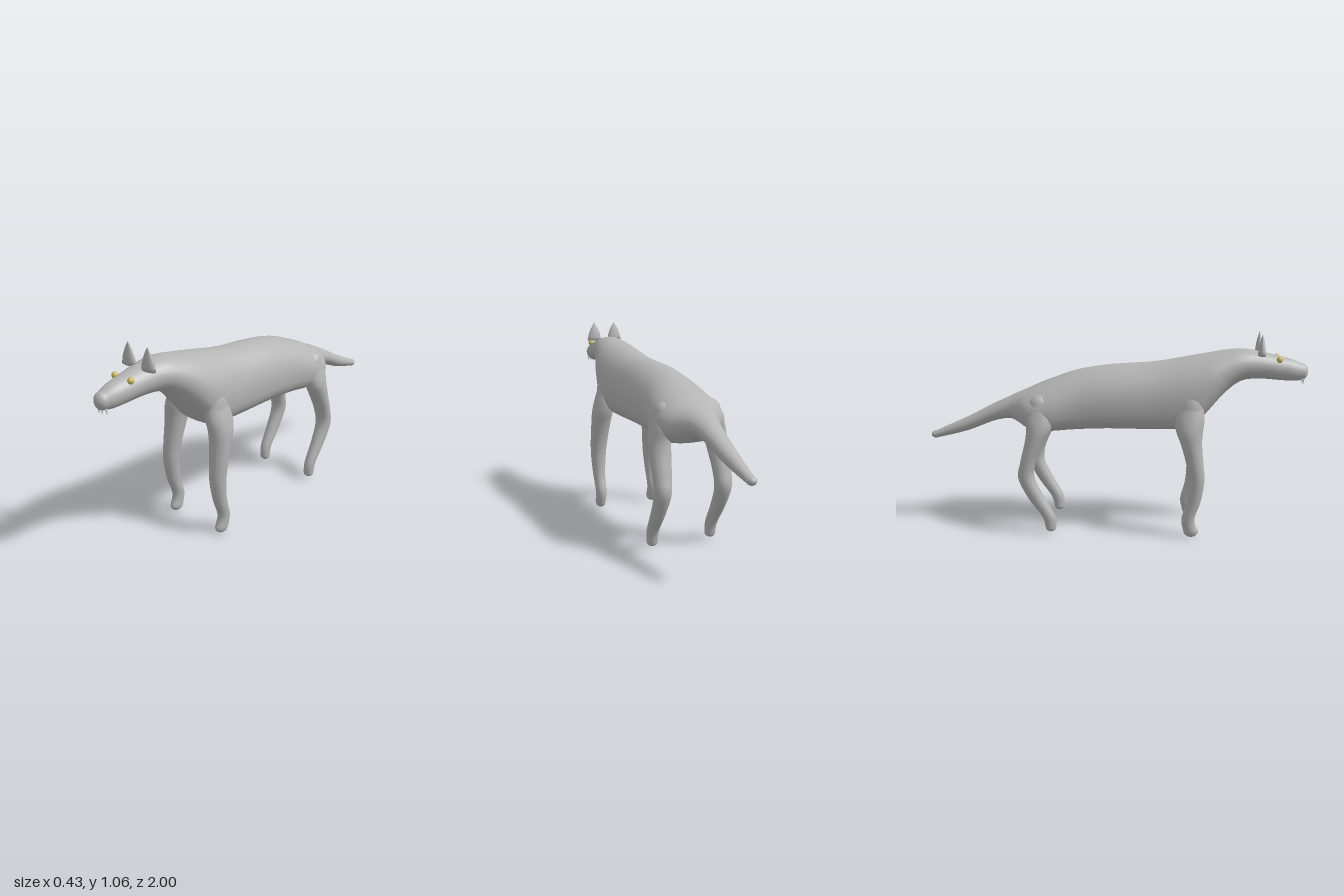
import * as THREE from 'three';

const SIDES = 28, STEPS = 5;

// Catmull-Rom resampling of rows of numbers
function resample(rows) {
  const out = [];
  const spline = (a, b, c, d, t) =>
    b + 0.5 * t * (c - a + t * (2 * a - 5 * b + 4 * c - d + t * (3 * (b - c) + d - a)));
  for (let i = 0; i < rows.length - 1; i++) {
    const a = rows[Math.max(i - 1, 0)], b = rows[i], c = rows[i + 1];
    const d = rows[Math.min(i + 2, rows.length - 1)];
    for (let s = 0; s < STEPS; s++) out.push(b.map((v, k) => spline(a[k], v, c[k], d[k], s / STEPS)));
  }
  out.push(rows[rows.length - 1]);
  return out;
}

// Rounded end: the last section shrinks to a point over the given depth
function dome([at, lo, hi, w, x], depth) {
  const mid = (lo + hi) / 2, half = (hi - lo) / 2;
  return [1, 2, 3, 4, 5].map((k) => {
    const a = k / 5 * Math.PI / 2, c = Math.cos(a);
    return [at + depth * Math.sin(a), mid - half * c, mid + half * c, w * c, x];
  });
}

// Skin a series of sections with domed ends; ring(row, angle) gives one point
function loft(rows, ring, startDepth, endDepth) {
  const body = resample(rows);
  const list = [...dome(body[0], startDepth).reverse(), ...body, ...dome(body[body.length - 1], endDepth)];
  const pos = [], index = [];
  list.forEach((row, i) => {
    for (let j = 0; j < SIDES; j++) {
      pos.push(...ring(row, (j / SIDES) * Math.PI * 2));
      if (i === list.length - 1) continue;
      const a = i * SIDES + j, b = i * SIDES + (j + 1) % SIDES;
      index.push(a, a + SIDES, b, b, a + SIDES, b + SIDES);
    }
  });
  const g = new THREE.BufferGeometry();
  g.setAttribute('position', new THREE.Float32BufferAttribute(pos, 3));
  g.setIndex(index);
  g.computeVertexNormals();
  return g;
}

// Body section: round at head and tail, squarer and wider below along the torso
function bodyRing([z, bottom, top, w], a) {
  const ends = THREE.MathUtils.smoothstep(Math.abs(z), 0.34, 0.62);
  const mid = THREE.MathUtils.lerp(bottom, top, 0.43 + 0.07 * ends);
  const c = Math.cos(a), s = Math.sin(a);
  if (s >= 0) return [w * c, mid + (top - mid) * s, z];
  const power = (v) => Math.sign(v) * Math.pow(Math.abs(v), 0.72 + 0.28 * ends);
  return [w * power(c), mid + (mid - bottom) * power(s), z];
}

// Leg section: an upright ellipse stack on one side
const legRing = (side) => ([y, back, front, w, x], a) =>
  [side * x + w * Math.cos(a), y, (back + front) / 2 + (front - back) / 2 * Math.sin(a)];

// z, bottom, top, half width
const BODY = [
  [0.965, 0.82, 0.907, 0.04],
  [0.92, 0.816, 0.927, 0.053],
  [0.85, 0.82, 0.945, 0.064],
  [0.75, 0.826, 0.968, 0.08],
  [0.66, 0.815, 0.98, 0.1],
  [0.58, 0.755, 0.974, 0.122],
  [0.5, 0.665, 0.96, 0.15],
  [0.43, 0.59, 0.948, 0.165],
  [0.36, 0.563, 0.935, 0.168],
  [0.2, 0.556, 0.908, 0.163],
  [-0.03, 0.557, 0.89, 0.165],
  [-0.2, 0.55, 0.86, 0.167],
  [-0.32, 0.542, 0.818, 0.182],
  [-0.4, 0.542, 0.786, 0.184],
  [-0.46, 0.556, 0.758, 0.163],
  [-0.51, 0.58, 0.737, 0.115],
  [-0.56, 0.595, 0.714, 0.08],
  [-0.65, 0.578, 0.672, 0.057],
  [-0.8, 0.52, 0.595, 0.042],
  [-0.975, 0.475, 0.516, 0.023],
];

// Shared leg widths: y, half width, distance from the middle
const LEG = [
  [0.035, 0.028, 0.164], [0.1, 0.03, 0.165], [0.2, 0.035, 0.166], [0.31, 0.043, 0.165],
  [0.4, 0.049, 0.163], [0.5, 0.055, 0.158], [0.57, 0.058, 0.152], [0.63, 0.057, 0.139], [0.69, 0.05, 0.127],
];

// Back and front z at each of those heights
const FRONT_LEG = [
  [0.375, 0.453], [0.364, 0.432], [0.388, 0.462], [0.394, 0.478],
  [0.382, 0.471], [0.354, 0.461], [0.327, 0.463], [0.318, 0.47], [0.33, 0.465],
];
const HIND_LEG = [
  [-0.357, -0.301], [-0.376, -0.305], [-0.446, -0.358], [-0.496, -0.41],
  [-0.482, -0.4], [-0.458, -0.355], [-0.448, -0.32], [-0.455, -0.307], [-0.44, -0.315],
];
const legRows = (depths) => LEG.map(([y, w, x], i) => [y, ...depths[i], w, x]);

// Ear profile: flared closed base rising to a point
const EAR = [[0, 0], [0.044, 0], [0.04, 0.02], [0.035, 0.042], [0.023, 0.07], [0.01, 0.093], [0, 0.108]]
  .map(([x, y]) => new THREE.Vector2(x, y));

export function createModel() {
  const model = new THREE.Group();
  const material = (name, color) => {
    const m = new THREE.MeshStandardMaterial({ color });
    m.name = name;
    return m;
  };
  const grey = material('grey hide', 0xb4b4b4);
  const yellow = material('yellow eye', 0xcdb964);
  const white = material('white tooth', 0xe6e6e0);
  const add = (name, geometry, mat, x = 0, y = 0, z = 0) => {
    const mesh = new THREE.Mesh(geometry, mat);
    mesh.name = name;
    mesh.position.set(x, y, z);
    model.add(mesh);
    return mesh;
  };

  // Head, neck, torso and tail in one skin
  add('body', loft(BODY, bodyRing, 0.035, -0.025), grey);

  for (const side of [1, -1]) {
    const label = side > 0 ? 'left' : 'right';
    add(label + 'FrontLeg', loft(legRows(FRONT_LEG), legRing(side), -0.033, 0.09), grey);
    add(label + 'HindLeg', loft(legRows(HIND_LEG), legRing(side), -0.022, 0.06), grey);

    const ear = add(label + 'Ear', new THREE.LatheGeometry(EAR, 24), grey, side * 0.064, 0.954, 0.752);
    ear.scale.z = 0.45;

    add(label + 'Eye', new THREE.SphereGeometry(0.016, 16, 12), yellow, side * 0.053, 0.932, 0.845);

    // Small fangs under the snout tip
    for (const x of [0.01, 0.029]) {
      const tooth = add(label + 'Tooth', new THREE.ConeGeometry(0.006, 0.032, 10), white,
        side * x, 0.817, x < 0.02 ? 0.978 : 0.968);
      tooth.rotation.x = Math.PI;
    }
  }
  return model;
}
